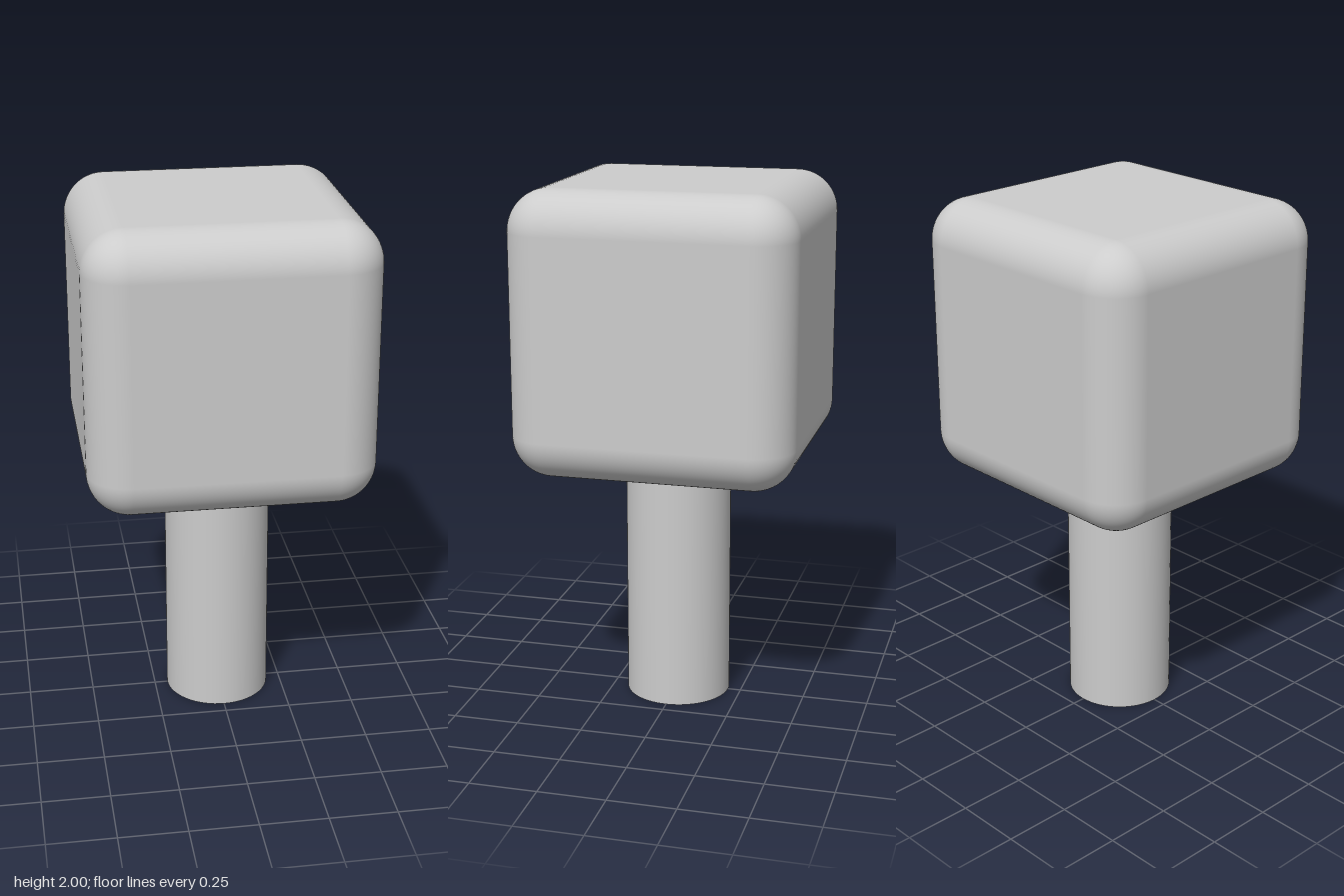
import * as THREE from 'three';
import { RoundedBoxGeometry } from 'three/addons/geometries/RoundedBoxGeometry.js';

export function createModel() {
  const model = new THREE.Group();
  model.name = 'roundedCubeOnPost';

  const grey = new THREE.MeshStandardMaterial({ color: 0xcccccc });
  grey.name = 'light grey';

  const headSize = 1.05;
  const headBottom = 2 - headSize;

  // Rounded cube head
  const head = new THREE.Mesh(
    new RoundedBoxGeometry(headSize, headSize, headSize, 10, 0.155), grey);
  head.name = 'head';
  head.position.y = headBottom + headSize / 2;
  model.add(head);

  // Round post, meeting the underside of the head
  const post = new THREE.Mesh(
    new THREE.CylinderGeometry(0.2, 0.2, headBottom, 64), grey);
  post.name = 'post';
  post.position.y = headBottom / 2;
  model.add(post);

  return model;
}
